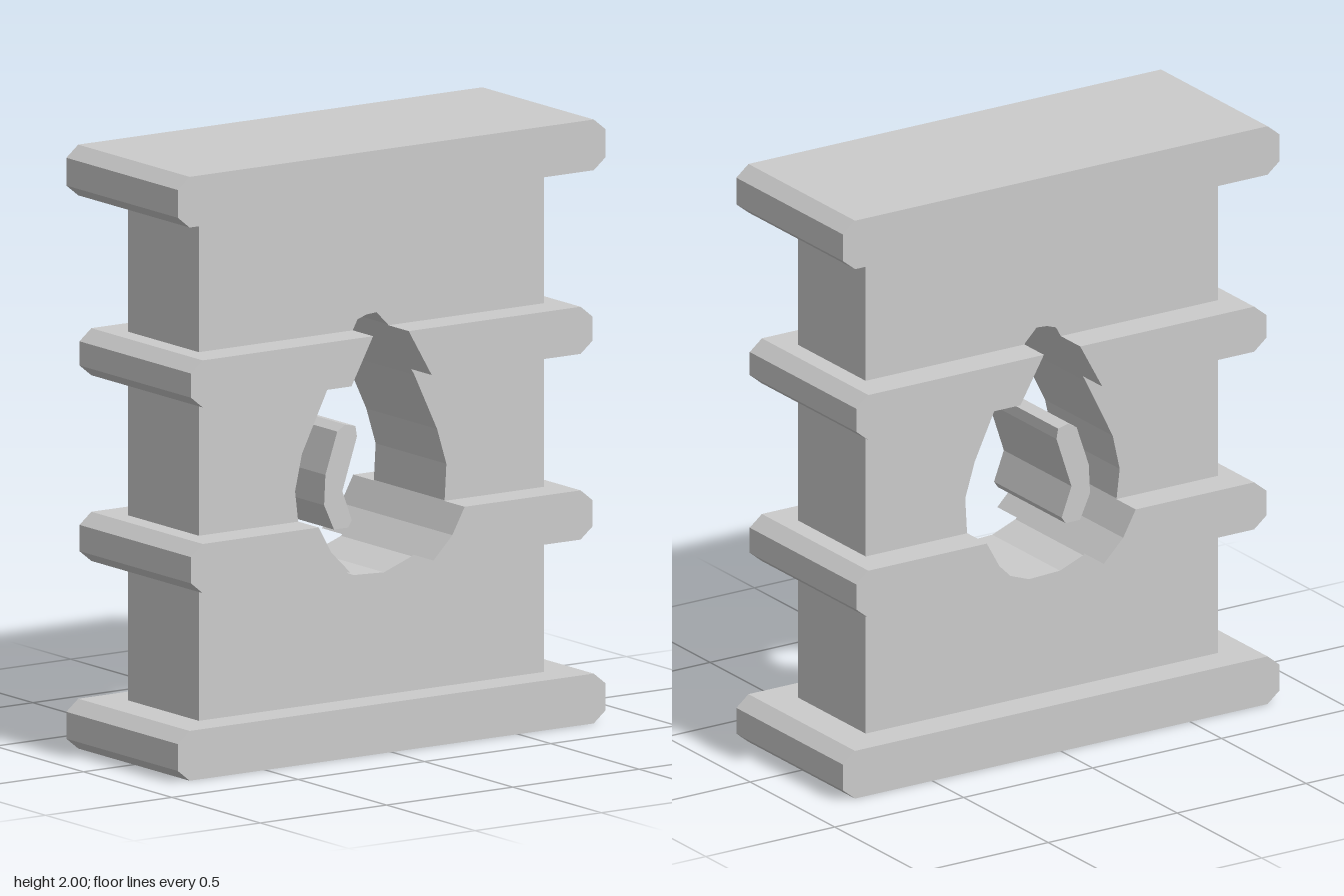
import * as THREE from 'three';

const material = new THREE.MeshStandardMaterial({ color: 0xcccccc, flatShading: true });
const BODY_DEPTH = 0.4;
const BAND_DEPTH = 0.63;

// Droplet outline, split into its two sides, each from top to bottom
const dropLeft = [[-0.02, 1.432], [-0.055, 1.42], [-0.17, 1.21], [-0.275, 1.0], [-0.302, 0.88],
  [-0.29, 0.78], [-0.24, 0.69], [-0.16, 0.61], [-0.07, 0.575]];
const dropRight = [[0.02, 1.435], [0.065, 1.39], [0.17, 1.21], [0.26, 1.02], [0.297, 0.9],
  [0.29, 0.78], [0.24, 0.69], [0.16, 0.61], [0.05, 0.57]];

const toVectors = (points) => points.map(([x, y]) => new THREE.Vector2(x, y));

// Extrudes a front outline, centred on z = 0
function slab(name, points, depth, hole) {
  const shape = new THREE.Shape(toVectors(points));
  if (hole) shape.holes.push(new THREE.Path(toVectors(hole)));
  const geometry = new THREE.ExtrudeGeometry(shape, { depth, bevelEnabled: false });
  geometry.translate(0, 0, -depth / 2);
  const mesh = new THREE.Mesh(geometry, material);
  mesh.name = name;
  return mesh;
}

// Chamfered end of a band, from bottom to top
function bandEnd(side, y0, y1, halfWidth) {
  const inner = side * (halfWidth - 0.047);
  const outer = side * halfWidth;
  return [[inner, y0], [outer, y0 + 0.038], [outer, y1 - 0.038], [inner, y1]];
}

// Part of a droplet side between two heights, from top to bottom
function dropEdge(side, y0, y1) {
  const at = (y) => {
    const i = side.findIndex((p) => p[1] <= y);
    const [a, b] = [side[i - 1], side[i]];
    return [a[0] + (b[0] - a[0]) * (y - a[1]) / (b[1] - a[1]), y];
  };
  const between = side.filter(([, y]) => y > y0 + 0.002 && y < y1 - 0.002);
  return [at(y1), ...between, at(y0)];
}

export function createModel() {
  const model = new THREE.Group();
  model.name = 'barrel';

  // Flat body with the droplet cut through it
  const body = [[-0.683, 0.1], [0.683, 0.1], [0.683, 1.9], [-0.683, 1.9]];
  model.add(slab('body', body, BODY_DEPTH, [...dropLeft, ...[...dropRight].reverse()]));

  // Full-width rims at the bottom and top
  for (const [name, y0, y1] of [['bottomRim', 0, 0.165], ['topRim', 1.832, 2]]) {
    const outline = [...bandEnd(1, y0, y1, 0.847), ...bandEnd(-1, y0, y1, 0.847).reverse()];
    model.add(slab(name, outline, BAND_DEPTH));
  }

  // Middle hoops, each parted by the droplet
  for (const [name, y0, y1] of [['lowerHoop', 0.615, 0.778], ['upperHoop', 1.23, 1.386]]) {
    const hoop = new THREE.Group();
    hoop.name = name;
    hoop.add(slab(name + 'Left', [...bandEnd(1, y0, y1, 0.795), ...dropEdge(dropRight, y0, y1)], BAND_DEPTH));
    hoop.add(slab(name + 'Right', [...bandEnd(-1, y0, y1, 0.795), ...dropEdge(dropLeft, y0, y1)], BAND_DEPTH));
    model.add(hoop);
  }

  // Curved highlight floating inside the droplet
  model.add(slab('dropHighlight', [[-0.135, 1.058], [-0.182, 0.92], [-0.187, 0.82], [-0.148, 0.735],
    [-0.092, 0.735], [-0.077, 0.757], [-0.115, 0.858], [-0.057, 1.033], [-0.063, 1.068], [-0.103, 1.077]], BODY_DEPTH));

  return model;
}
